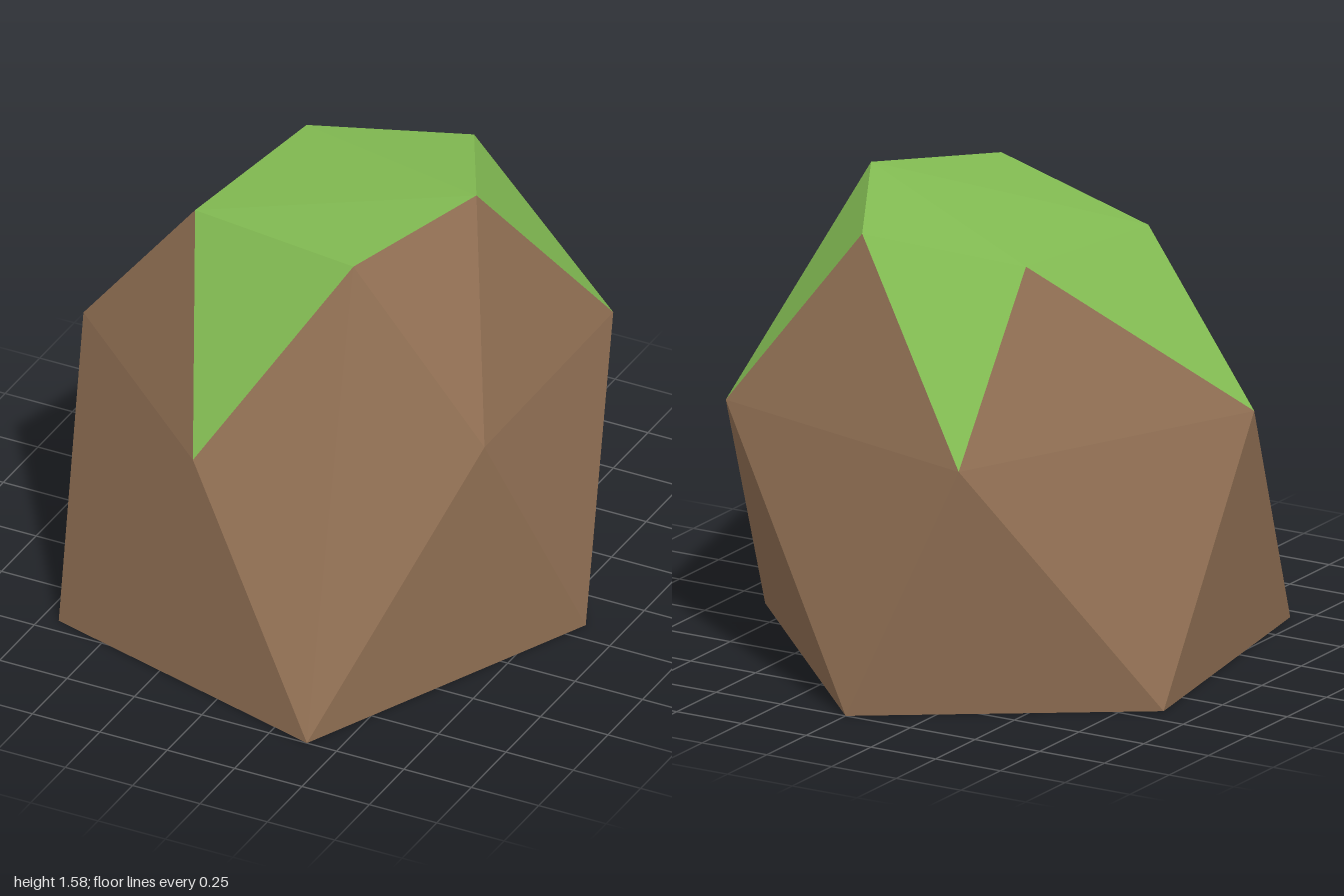
import * as THREE from 'three';

export function createModel() {
  const group = new THREE.Group();
  const earth = new THREE.MeshStandardMaterial({ color: 0x906f53 });
  earth.name = 'earth brown';
  const grass = new THREE.MeshStandardMaterial({ color: 0x82bb52 });
  grass.name = 'grass green';

  // Three rings of five corners, counter-clockwise from above
  const ring = (pts) => pts.map((p) => new THREE.Vector3(...p));
  const base = ring([[-0.69, 0, 0.69], [0.39, 0, 1], [0.87, 0, -0.08], [0, 0, -1], [-0.87, 0, -0.41]]);
  const mid = ring([[-0.11, 0.875, 0.85], [0.71, 0.875, 0.34], [0.7, 0.875, -0.61], [-0.37, 0.875, -0.89], [-0.855, 0.875, 0.19]]);
  const top = ring([[-0.41, 1.43, 0.25], [0.28, 1.515, 0.45], [0.485, 1.58, -0.04], [0.24, 1.495, -0.5], [-0.32, 1.44, -0.38]]);

  const rockFaces = [];
  const grassFaces = [];
  for (let i = 0; i < 5; i++) {
    const j = (i + 1) % 5;
    // Lower facet, rising to a middle corner
    rockFaces.push([base[i], base[j], mid[i]]);
    // Upper facet; grass spills over all but one of them
    (i === 1 ? rockFaces : grassFaces).push([mid[i], top[j], top[i]]);
    // Kite between neighbouring facets, split along its outer diagonal
    if (i === 0) rockFaces.push([mid[i], base[j], top[j]], [base[j], mid[j], top[j]]);
    else rockFaces.push([mid[i], base[j], mid[j]], [mid[i], mid[j], top[j]]);
  }
  // Underside and grassy cap
  for (let i = 1; i < 4; i++) rockFaces.push([base[0], base[i + 1], base[i]]);
  for (let i = 3; i < 6; i++) grassFaces.push([top[2], top[i % 5], top[(i + 1) % 5]]);

  const addFaces = (name, faces, material) => {
    const geometry = new THREE.BufferGeometry().setFromPoints(faces.flat());
    geometry.computeVertexNormals();
    const mesh = new THREE.Mesh(geometry, material);
    mesh.name = name;
    group.add(mesh);
  };
  addFaces('rockBody', rockFaces, earth);
  addFaces('grassCap', grassFaces, grass);
  group.name = 'grassyRock';
  return group;
}
